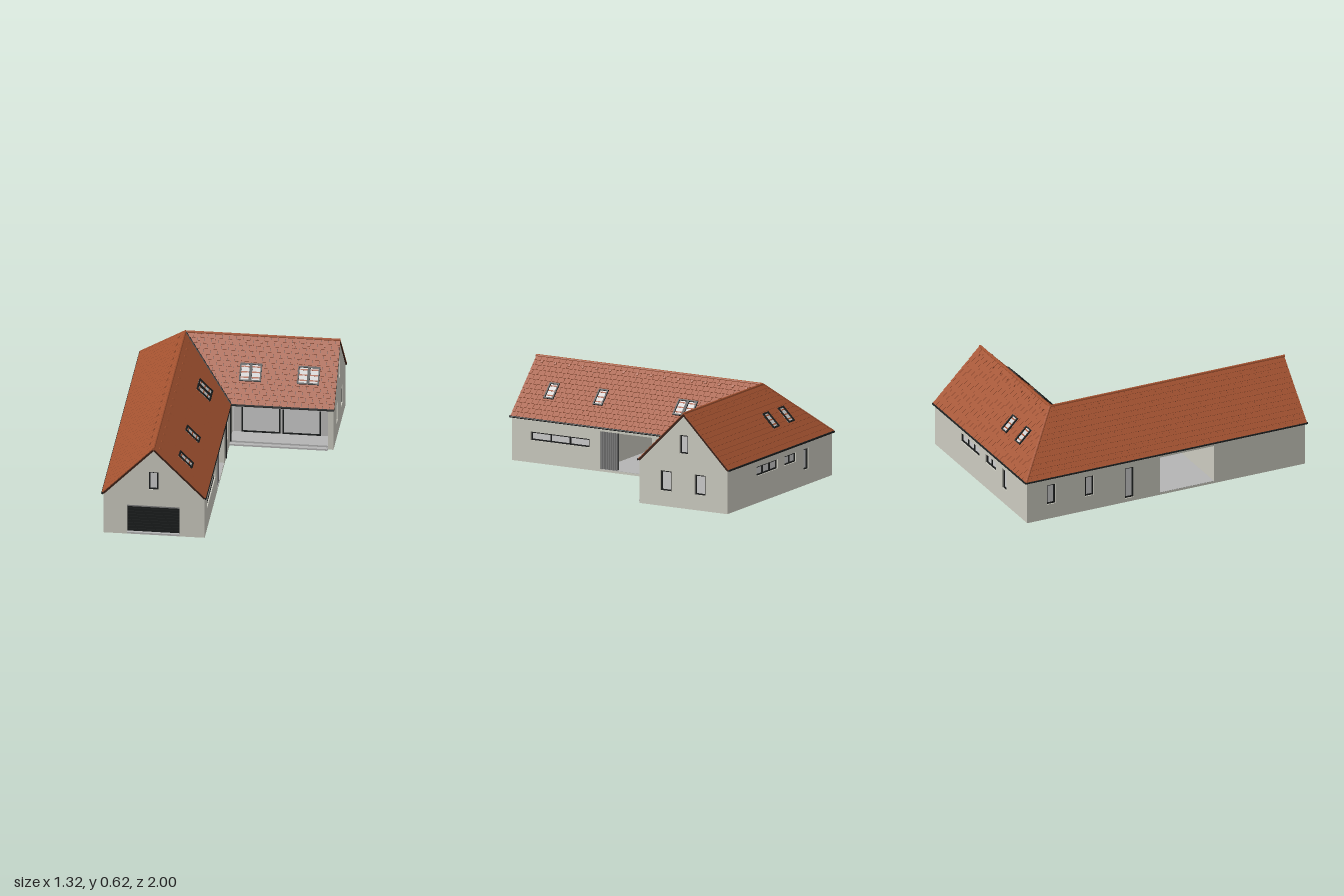
import * as THREE from 'three';

const mat = (color) => new THREE.MeshStandardMaterial({ color, flatShading: true });
const M = {
  wall: mat(0xcbcabf), tile: mat(0xa35230), under: mat(0x3a2016), frame: mat(0x1b1d1d),
  glass: mat(0xbcbcbc), floor: mat(0xb4b4b4), garageFloor: mat(0x6a6a6a), slat: mat(0x7c7c7c), inner: mat(0xbdbcbb),
};
const V = (x, y, z) => new THREE.Vector3(x, y, z);
const EAVE = 0.285, RIDGE = 0.615;

function box(parent, name, m, x0, x1, y0, y1, z0, z1) {
  const mesh = new THREE.Mesh(new THREE.BoxGeometry(x1 - x0, y1 - y0, z1 - z0), m);
  mesh.position.set((x0 + x1) / 2, (y0 + y1) / 2, (z0 + z1) / 2);
  mesh.name = name;
  parent.add(mesh);
  return mesh;
}

// Round bar between two points
function bar(parent, name, m, a, b, r) {
  const mesh = new THREE.Mesh(new THREE.CylinderGeometry(r, r, a.distanceTo(b), 8), m);
  mesh.position.copy(a).add(b).multiplyScalar(0.5);
  mesh.quaternion.setFromUnitVectors(V(0, 1, 0), b.clone().sub(a).normalize());
  mesh.name = name;
  parent.add(mesh);
}

// Rectangular frame with panes, in the plane of a wall
function windowUnit(parent, name, u0, u1, y0, y1, panes = 1, z = -0.008, f = 0.008) {
  const g = new THREE.Group();
  g.name = name;
  box(g, 'glass', M.glass, u0, u1, y0, y1, z - 0.014, z - 0.008);
  for (const y of [y0, y1 - f]) box(g, 'rail', M.frame, u0, u1, y, y + f, z - 0.016, z);
  for (let i = 0; i <= panes; i++) {
    const u = u0 + (u1 - u0 - f) * i / panes;
    box(g, 'stile', M.frame, u, u + f, y0, y1, z - 0.016, z);
  }
  parent.add(g);
}

// Wall with outer face at local z = 0; each opening is [u0, u1, y0, y1, panes], no panes = left open
function wall(parent, name, m, outline, openings, angle, pos, t = 0.03) {
  const g = new THREE.Group();
  g.name = name;
  const shape = new THREE.Shape(outline.map(([u, y]) => new THREE.Vector2(u, y)));
  for (const [u0, u1, y0, y1, panes] of openings) {
    shape.holes.push(new THREE.Path([[u0, y0], [u0, y1], [u1, y1], [u1, y0]].map((p) => new THREE.Vector2(...p))));
    if (panes) windowUnit(g, 'window', u0, u1, y0, y1, panes);
  }
  const geo = new THREE.ExtrudeGeometry(shape, { depth: t, bevelEnabled: false }).translate(0, 0, -t);
  const mesh = new THREE.Mesh(geo, m);
  mesh.name = 'wallPanel';
  g.add(mesh);
  g.rotation.y = angle;
  g.position.copy(pos);
  parent.add(g);
  return g;
}
const rect = (u0, u1, y0, y1) => [[u0, y0], [u1, y0], [u1, y1], [u0, y1]];
const gable = (u0, um, u1) => [[u0, 0], [u1, 0], [u1, 0.273], [um, 0.598], [u0, 0.273]];

// Roof plane from eave a0-a1 to ridge r0-r1, covered with staggered tiles
function slope(parent, name, a0, a1, r0, r1, axis, skylights) {
  const g = new THREE.Group();
  g.name = name;
  const d = a1.clone().sub(a0).normalize();
  const up = r0.clone().sub(a0);
  const w = up.clone().addScaledVector(d, -up.dot(d)).normalize();
  const n = d.clone().cross(w);
  const lo = (t) => up.dot(d) * t;
  const hi = (t) => THREE.MathUtils.lerp(a1.clone().sub(a0).dot(d), r1.clone().sub(a0).dot(d), t);
  const point = (s, t, h) => a0.clone().lerp(r0, t).addScaledVector(d, s - lo(t)).addScaledVector(n, h);

  // Slab clipped to the plane's outline, with its own top height at either edge
  const slab = (out, s0, s1, t0, t1, bottom, top0, top1) => {
    const c = (s, t) => THREE.MathUtils.clamp(s, lo(t), hi(t));
    const k = [[c(s0, t0), t0, top0], [c(s1, t0), t0, top0], [c(s1, t1), t1, top1], [c(s0, t1), t1, top1]];
    if (k[1][0] - k[0][0] + k[2][0] - k[3][0] < 0.004) return;
    const p = [...k.map(([s, t]) => point(s, t, bottom)), ...k.map(([s, t, h]) => point(s, t, h))];
    for (const [a, b, e, f] of [[4, 5, 6, 7], [3, 2, 1, 0], [0, 1, 5, 4], [1, 2, 6, 5], [2, 3, 7, 6], [3, 0, 4, 7]])
      for (const i of [a, b, e, a, e, f]) out.push(p[i].x, p[i].y, p[i].z);
  };
  const addSlabs = (label, m, out) => {
    const geo = new THREE.BufferGeometry();
    geo.setAttribute('position', new THREE.Float32BufferAttribute(out, 3));
    geo.computeVertexNormals();
    const mesh = new THREE.Mesh(geo, m);
    mesh.name = label;
    g.add(mesh);
  };
  const deck = [], tiles = [];
  slab(deck, -9, 9, 0, 1, -0.012, 0, 0);
  const rows = 13, width = 0.045;
  for (let r = 0; r < rows; r++)
    for (let i = -12; i < 56; i++) {
      const s = (i + (r % 2) / 2) * width;
      slab(tiles, s, s + width - 0.002, r / rows, (r + 1) / rows, -0.001, 0.006, 0.002);
    }
  addSlabs('roofDeck', M.under, deck);
  addSlabs('roofTiles', M.tile, tiles);

  // Fittings lie in the roof plane
  const mount = (label, s, t) => {
    const m = new THREE.Group();
    m.name = label;
    m.quaternion.setFromRotationMatrix(new THREE.Matrix4().makeBasis(d, w, n));
    m.position.copy(point(s, t, 0));
    g.add(m);
    return m;
  };
  for (const [centre, count] of skylights) {
    const s = (centre - a0[axis]) * d[axis];
    for (let i = 0; i < count; i++) {
      const m = mount('skylight', s + (i - (count - 1) / 2) * 0.07, 0.465);
      windowUnit(m, 'skylightFrame', -0.035, 0.035, -0.06, 0.06, 1, 0.013, 0.009);
    }
  }
  // Vent tiles just under the ridge
  for (let s = lo(0.9) + 0.06; s < hi(0.9) - 0.03; s += 0.1)
    box(mount('ventTile', s, 0.9), 'vent', M.tile, -0.007, 0.007, -0.008, 0.008, 0, 0.01);
  parent.add(g);
}

export function createModel() {
  const house = new THREE.Group();
  house.name = 'house';
  const Q = Math.PI / 2;

  // Outer walls
  const front = wall(house, 'garageGable', M.wall, gable(-0.65, -0.33, -0.005),
    [[-0.5, -0.165, 0.012, 0.2], [-0.36, -0.3, 0.32, 0.445, 1]], 0, V(0, 0, 0.985));
  wall(house, 'courtyardWall', M.wall, rect(-0.985, 0.47, 0, 0.273),
    [[-0.85, -0.42, 0.145, 0.2, 3], [-0.34, 0.04, 0.014, 0.26], [0.15, 0.23, 0.1, 0.23, 1]], Q, V(-0.005, 0, 0));
  wall(house, 'sideGable', M.wall, gable(0.335, 0.66, 0.98),
    [[0.49, 0.57, 0.1, 0.23, 1], [0.74, 0.82, 0.1, 0.23, 1], [0.63, 0.69, 0.355, 0.475, 1]], Q, V(0.655, 0, 0), 0.035);
  wall(house, 'backWall', M.wall, rect(-0.655, 0.65, 0, 0.273),
    [[-0.29, -0.025, 0.175, 0.235, 3], [0.06, 0.205, 0.175, 0.235, 2], [0.295, 0.36, 0.1, 0.235, 1]], 2 * Q, V(0, 0, -0.98));
  wall(house, 'outerSideWall', M.wall, rect(-0.98, 0.985, 0, 0.273),
    [[-0.84, -0.78, 0.1, 0.235, 1], [-0.57, -0.51, 0.1, 0.235, 1], [-0.29, -0.225, 0.025, 0.235, 1], [-0.04, 0.34, 0.014, 0.26]],
    -Q, V(-0.65, 0, 0));

  // Garage door with horizontal slats
  box(front, 'garageDoor', M.frame, -0.5, -0.165, 0.012, 0.2, -0.03, -0.022);
  for (let i = 0; i < 9; i++) box(front, 'doorSlat', M.frame, -0.497, -0.168, 0.014 + i * 0.0205, 0.03 + i * 0.0205, -0.024, -0.016);
  box(front, 'doorLintel', M.slat, -0.5, -0.165, 0.197, 0.205, -0.02, 0.003);
  box(front, 'doorSill', M.floor, -0.5, -0.165, 0.003, 0.014, -0.03, 0.004);

  // Recessed glazed terrace
  const terrace = wall(house, 'terraceWall', M.inner, rect(0, 0.62, 0, 0.28), [], 0, V(0, 0, -0.475));
  for (const [a, b] of [[0.055, 0.3], [0.315, 0.56]]) windowUnit(terrace, 'slidingDoor', a, b, 0.028, 0.233, 1, 0.012);
  box(house, 'terraceSoffit', M.inner, -0.005, 0.65, 0.268, 0.276, -0.48, -0.335);
  box(house, 'terraceFloor', M.floor, -0.005, 0.62, 0.01, 0.024, -0.475, -0.34);
  box(house, 'terraceStep', M.floor, -0.005, 0.62, 0.002, 0.013, -0.475, -0.312);

  // Covered passage through the long wing
  const near = wall(house, 'passageDoorWall', M.wall, rect(-0.65, -0.005, 0, 0.273), [[-0.15, -0.06, 0.02, 0.235, 1]], 0, V(0, 0, -0.04));
  near.name = 'passageDoorWall';
  wall(house, 'passageGarageWall', M.wall, rect(0.005, 0.65, 0, 0.273), [], 2 * Q, V(0, 0, 0.34));
  box(house, 'passageCeiling', M.wall, -0.649, -0.006, 0.26, 0.272, -0.04, 0.34);
  for (let i = 0; i < 9; i++) box(house, 'screenSlat', M.slat, -0.03, -0.008, 0.014, 0.26, 0.22 + i * 0.0135, 0.23 + i * 0.0135);
  box(house, 'screenBack', M.frame, -0.034, -0.03, 0.014, 0.26, 0.22, 0.34);

  // Floors
  box(house, 'garageFloor', M.garageFloor, -0.63, -0.025, 0.003, 0.012, 0.36, 0.965);
  box(house, 'passageFloor', M.floor, -0.649, -0.006, 0.003, 0.016, -0.04, 0.34);
  box(house, 'longWingFloor', M.floor, -0.63, -0.025, 0.003, 0.012, -0.5, -0.06);
  box(house, 'shortWingFloor', M.floor, -0.63, 0.63, 0.003, 0.012, -0.96, -0.5);

  // Roof planes
  const e = (x, z) => V(x, EAVE, z), r = (x, z) => V(x, RIDGE, z);
  const hub = r(-0.33, -0.66);
  slope(house, 'longRoofInner', e(0, 0.995), e(0, -0.33), r(-0.33, 0.995), hub, 'z', [[-0.2, 2], [0.42, 1], [0.78, 1]]);
  slope(house, 'longRoofOuter', e(-0.655, -0.99), e(-0.655, 0.995), hub, r(-0.33, 0.995), 'z', []);
  slope(house, 'shortRoofFront', e(0, -0.33), e(0.66, -0.33), hub, r(0.66, -0.66), 'x', [[0.11, 2], [0.48, 2]]);
  slope(house, 'shortRoofBack', e(0.66, -0.99), e(-0.655, -0.99), r(0.66, -0.66), hub, 'x', [[-0.315, 1], [-0.125, 1]]);

  // Ridge, hip and valley
  bar(house, 'longRidge', M.tile, r(-0.33, 1), hub, 0.009);
  bar(house, 'shortRidge', M.tile, hub, r(0.66, -0.66), 0.009);
  bar(house, 'hip', M.tile, hub, e(-0.655, -0.99), 0.008);
  bar(house, 'valley', M.frame, hub, e(0, -0.33), 0.01);

  // Gutters and downpipes
  const gy = EAVE - 0.002;
  bar(house, 'gutter', M.frame, V(0.002, gy, 1), V(0.002, gy, -0.33), 0.007);
  bar(house, 'gutter', M.frame, V(0, gy, -0.326), V(0.66, gy, -0.326), 0.007);
  bar(house, 'gutter', M.frame, V(-0.656, gy, -0.993), V(-0.656, gy, 1), 0.007);
  bar(house, 'gutter', M.frame, V(-0.656, gy, -0.993), V(0.66, gy, -0.993), 0.007);
  for (const z of [-0.1, -0.335]) bar(house, 'downpipe', M.frame, V(0.002, 0.02, z), V(0.002, gy, z), 0.005);
  return house;
}
